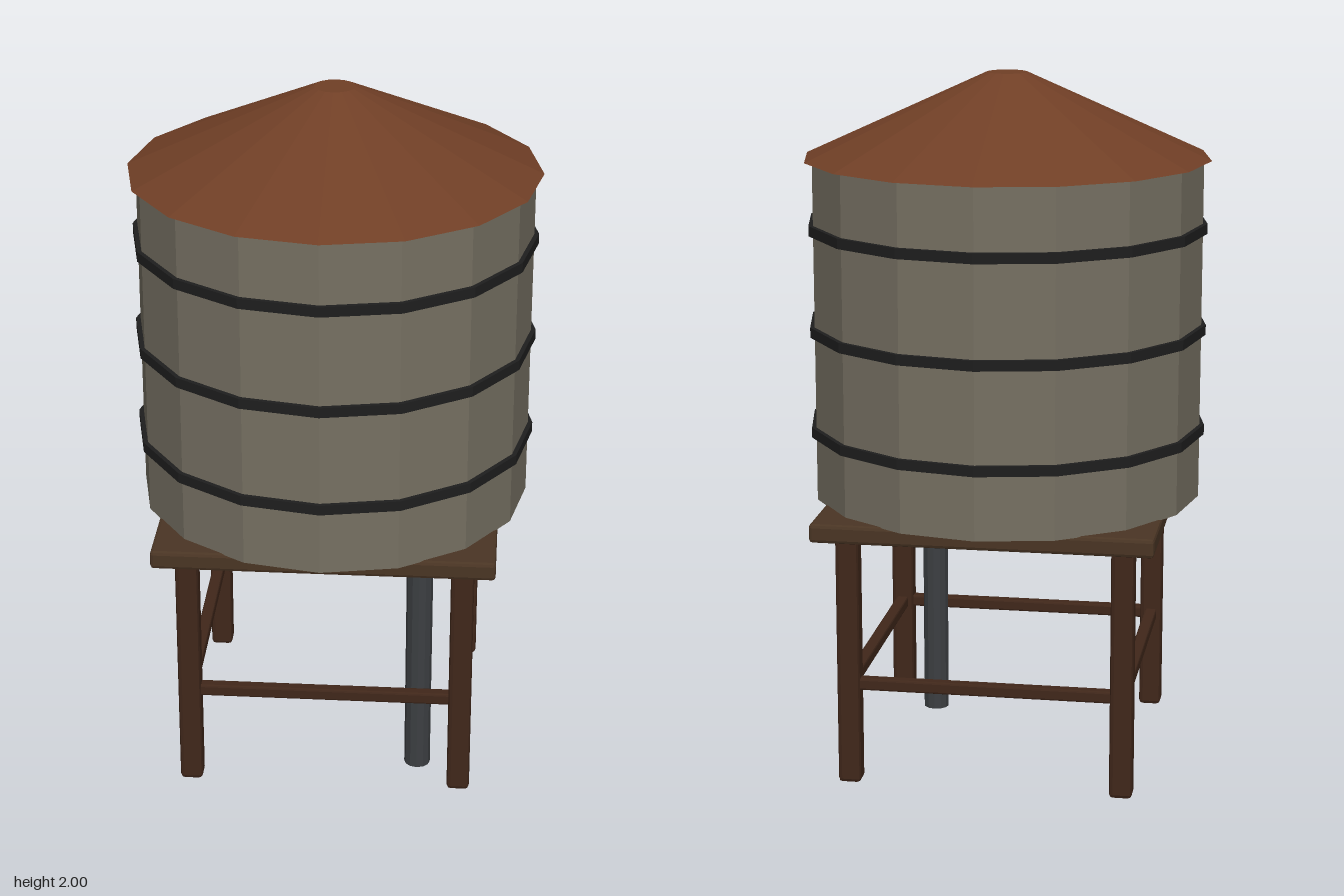
import * as THREE from 'three';
import { RoundedBoxGeometry } from 'three/addons/geometries/RoundedBoxGeometry.js';

const SIDES = 16;
const paint = (color) => new THREE.MeshStandardMaterial({ color, flatShading: true });

export function createModel() {
  const model = new THREE.Group();
  const mats = {
    leg: paint(0x40271a),
    platform: paint(0x4a3524),
    tank: paint(0x767062),
    band: paint(0x1e1e1e),
    roof: paint(0x703f26),
    pipe: paint(0x3c3f42),
  };

  const add = (name, geometry, material, x, y, z) => {
    const mesh = new THREE.Mesh(geometry, material);
    mesh.name = name;
    mesh.position.set(x, y, z);
    model.add(mesh);
    return mesh;
  };
  // Box with one chamfer step on its edges
  const beam = (w, h, d, bevel) => new RoundedBoxGeometry(w, h, d, 1, bevel);
  const drum = (top, bottom, height, sides = SIDES) =>
    new THREE.CylinderGeometry(top, bottom, height, sides);

  // Four legs at the corners
  const legAt = 0.39;
  for (const x of [-legAt, legAt]) {
    for (const z of [-legAt, legAt]) {
      add('leg', beam(0.065, 0.73, 0.065, 0.012), mats.leg, x, 0.37, z);
    }
  }

  // Horizontal braces joining the legs on all four sides
  for (const s of [-legAt, legAt]) {
    add('sideToSideBrace', beam(0.76, 0.035, 0.035, 0.006), mats.leg, 0, 0.3, s);
    add('frontToBackBrace', beam(0.035, 0.035, 0.76, 0.006), mats.leg, s, 0.3, 0);
  }

  // Square platform
  add('platform', beam(0.965, 0.054, 0.965, 0.01), mats.platform, 0, 0.762, 0);

  // Faceted tank with three hoops
  add('tank', drum(0.56, 0.56, 0.975), mats.tank, 0, 1.2735, 0);
  for (const y of [0.985, 1.277, 1.568]) {
    add('hoop', drum(0.573, 0.573, 0.029), mats.band, 0, y, 0);
  }

  // Conical roof with a small flat top
  add('roof', drum(0.058, 0.582, 0.24), mats.roof, 0, 1.88, 0);

  // Drain pipe beside the front left leg
  add('pipe', drum(0.038, 0.038, 0.685, 12), mats.pipe, 0.265, 0.3425, 0.265);

  return model;
}
